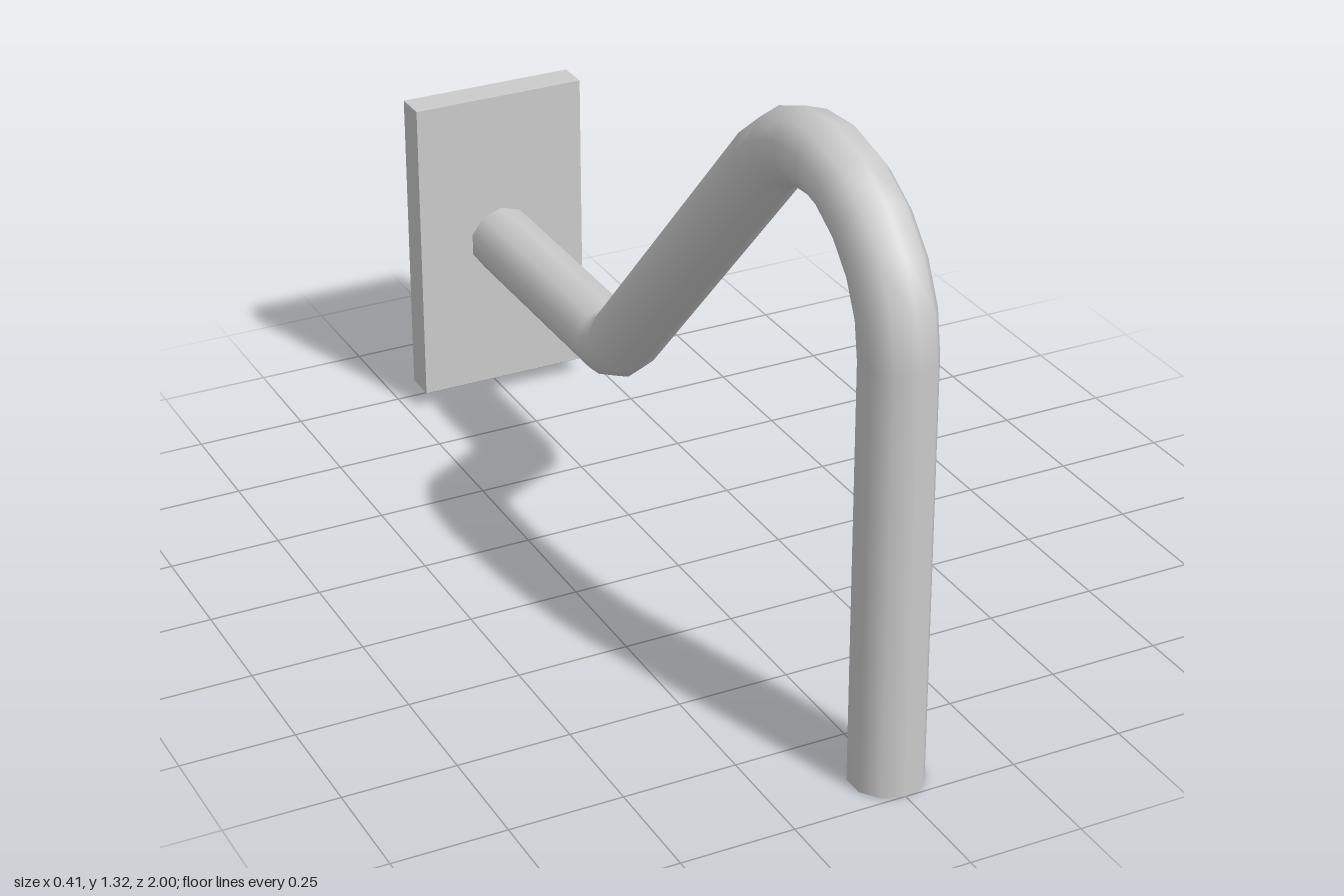
import * as THREE from 'three';

const SIDES = 10;
const TUBE_RADIUS = 0.08;

// Sweeps an open round pipe along stations { z, y, t } in the x = 0 plane;
// t is the angle of the ring's in-plane normal, measured from +z toward +y.
function sweepPipe(stations) {
  const positions = [], normals = [], index = [];
  for (const { z, y, t } of stations) {
    for (let j = 0; j < SIDES; j++) {
      const a = (j / SIDES) * Math.PI * 2;
      const n = [Math.sin(a), Math.cos(a) * Math.sin(t), Math.cos(a) * Math.cos(t)];
      normals.push(...n);
      positions.push(n[0] * TUBE_RADIUS, y + n[1] * TUBE_RADIUS, z + n[2] * TUBE_RADIUS);
    }
  }
  for (let i = 0; i < stations.length - 1; i++) {
    for (let j = 0; j < SIDES; j++) {
      const a = i * SIDES + j, b = i * SIDES + ((j + 1) % SIDES);
      index.push(a, b, a + SIDES, b, b + SIDES, a + SIDES);
    }
  }
  const geometry = new THREE.BufferGeometry();
  geometry.setAttribute('position', new THREE.Float32BufferAttribute(positions, 3));
  geometry.setAttribute('normal', new THREE.Float32BufferAttribute(normals, 3));
  geometry.setIndex(index);
  return geometry;
}

// Circular bend around (z, y); a negative radius curves the other way
function bend(z, y, radius, from, to, segments) {
  return Array.from({ length: segments + 1 }, (_, i) => {
    const t = THREE.MathUtils.degToRad(from + ((to - from) * i) / segments);
    return { z: z + radius * Math.cos(t), y: y + radius * Math.sin(t), t };
  });
}

export function createModel() {
  const group = new THREE.Group();
  group.name = 'wallBracketPipe';

  // Pipe: upright leg, top bend, sloping run, lower bend, run into the plate
  const stations = [
    { z: 0.92, y: 0, t: 0 },
    ...bend(0.62, 0.94, 0.3, 0, 136.4, 8),
    ...bend(-0.35, 0.526, -0.12, 136.4, 90, 3),
    { z: -0.925, y: 0.406, t: Math.PI / 2 },
  ];
  const pipe = new THREE.Mesh(
    sweepPipe(stations),
    new THREE.MeshStandardMaterial({ color: 0xcccccc, side: THREE.DoubleSide })
  );
  pipe.name = 'bentPipe';
  group.add(pipe);

  // Mounting plate at the back
  const plate = new THREE.Mesh(
    new THREE.BoxGeometry(0.414, 0.73, 0.075),
    new THREE.MeshStandardMaterial({ color: 0xcccccc })
  );
  plate.name = 'mountingPlate';
  plate.position.set(0, 0.406, -0.9625);
  group.add(plate);

  return group;
}
